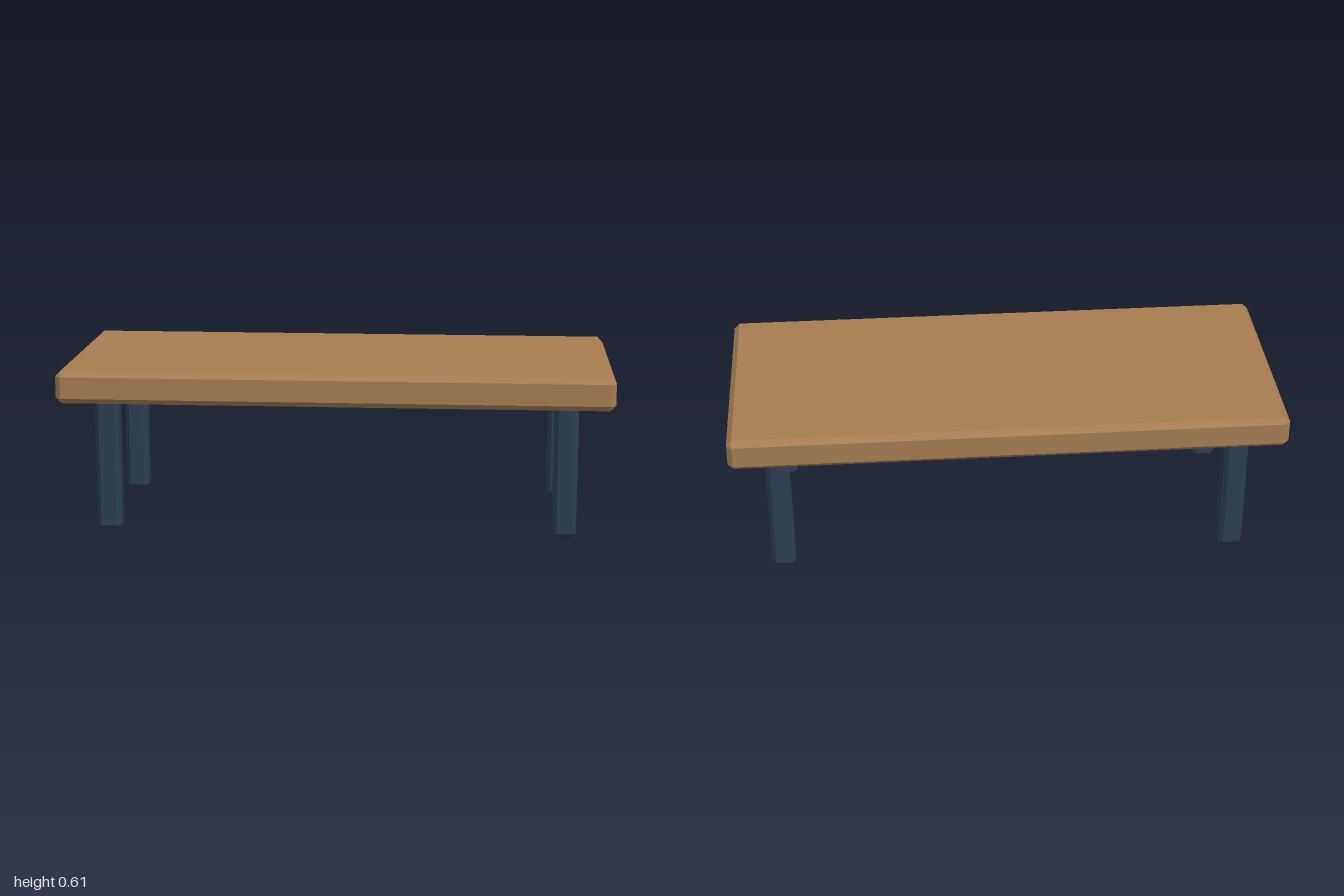
import * as THREE from 'three';
import { ConvexGeometry } from 'three/addons/geometries/ConvexGeometry.js';

// Box with every edge cut at 45 degrees by c, standing on y = 0
function chamferBox(w, h, d, c) {
  const points = [];
  for (const x of [-1, 1]) for (const y of [-1, 1]) for (const z of [-1, 1]) {
    const X = x * w / 2, Y = y * h / 2, Z = z * d / 2;
    points.push(
      new THREE.Vector3(X, Y - y * c, Z - z * c),
      new THREE.Vector3(X - x * c, Y, Z - z * c),
      new THREE.Vector3(X - x * c, Y - y * c, Z)
    );
  }
  return new ConvexGeometry(points).translate(0, h / 2, 0);
}

export function createModel() {
  const model = new THREE.Group();
  model.name = 'lowTable';
  const wood = new THREE.MeshStandardMaterial({ color: 0xa67c52, flatShading: true });
  const dark = new THREE.MeshStandardMaterial({ color: 0x2c3e50, flatShading: true });

  // Bevelled table top
  const top = new THREE.Mesh(chamferBox(2, 0.119, 0.866, 0.02), wood);
  top.name = 'tableTop';
  top.position.y = 0.489;
  model.add(top);

  // Four legs, their upper ends set into the top
  const legGeometry = chamferBox(0.086, 0.51, 0.086, 0.015);
  for (const x of [-1, 1]) for (const z of [-1, 1]) {
    const leg = new THREE.Mesh(legGeometry, dark);
    leg.name = (z > 0 ? 'front' : 'back') + (x > 0 ? 'Left' : 'Right') + 'Leg';
    leg.position.set(x * 0.833, 0, z * 0.301);
    model.add(leg);
  }
  return model;
}
